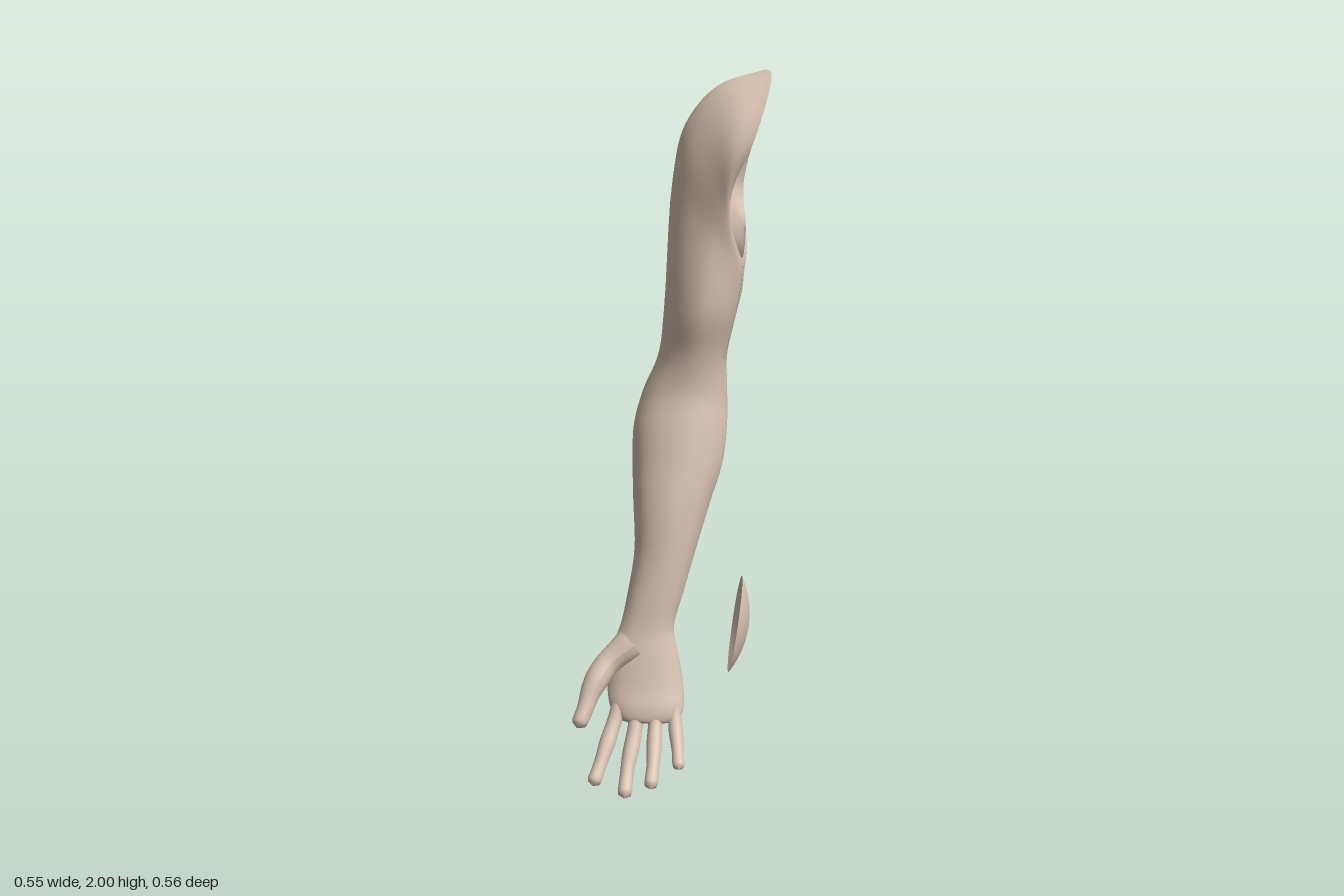
import * as THREE from 'three';

const skin = new THREE.MeshStandardMaterial({ color: 0xd9c3b2, side: THREE.DoubleSide });
const V = (p) => new THREE.Vector3(...p);
const AROUND = 40, STEPS = 5;

// Eight control points of an oval at height y: outer, front, inner, back
function oval([y, x0, x1, z0, z1]) {
  return Array.from({ length: 8 }, (_, i) => {
    const a = Math.PI - i * Math.PI / 4;
    return [(x0 + x1) / 2 + (x1 - x0) / 2 * Math.cos(a), y, (z0 + z1) / 2 + (z1 - z0) / 2 * Math.sin(a)];
  });
}

// Smooth skin through rings of control points, listed from top to bottom
function loft(rings) {
  const loops = rings.map((ring) => {
    const c = new THREE.CatmullRomCurve3(ring.map(V), true);
    return Array.from({ length: AROUND }, (_, j) => c.getPoint(j / AROUND));
  });
  const rows = (rings.length - 1) * STEPS;
  const columns = Array.from({ length: AROUND }, (_, j) => new THREE.CatmullRomCurve3(loops.map((l) => l[j])));
  const pos = [], index = [];
  for (let i = 0; i <= rows; i++) {
    for (let j = 0; j < AROUND; j++) {
      pos.push(...columns[j].getPoint(i / rows).toArray());
      if (i === rows) continue;
      const a = i * AROUND + j, b = i * AROUND + (j + 1) % AROUND;
      index.push(a, a + AROUND, b + AROUND, a, b + AROUND, b);
    }
  }
  const g = new THREE.BufferGeometry();
  g.setAttribute('position', new THREE.Float32BufferAttribute(pos, 3));
  g.setIndex(index);
  g.computeVertexNormals();
  return g;
}

// Tapered finger with a rounded tip
function finger(points, r0, r1) {
  const curve = new THREE.CatmullRomCurve3(points.map(V));
  const n = 28, sides = 16, length = curve.getLength();
  const g = new THREE.TubeGeometry(curve, n, 1, sides);
  const p = g.attributes.position, v = new THREE.Vector3();
  for (let i = 0; i <= n; i++) {
    const t = i / n, c = curve.getPointAt(t);
    const tip = Math.max(0, 1 - (1 - t) * length / r1);
    const joint = 1 + 0.06 * Math.cos(t * Math.PI * 4);
    const r = THREE.MathUtils.lerp(r0, r1, t) * joint * Math.sqrt(Math.max(0, 1 - tip * tip));
    for (let j = 0; j <= sides; j++) {
      const k = i * (sides + 1) + j;
      v.fromBufferAttribute(p, k).sub(c).multiplyScalar(r).add(c);
      p.setXYZ(k, v.x, v.y, v.z);
    }
  }
  g.computeVertexNormals();
  return g;
}

export function createModel() {
  const model = new THREE.Group();
  const add = (name, geometry) => {
    const m = new THREE.Mesh(geometry, skin);
    m.name = name;
    model.add(m);
    return m;
  };

  // Shoulder rings, from the ragged open edge to the upper arm
  const shoulder = [
    [[.25, 2, -.13], [.268, 1.975, -.03], [.22, 1.8, .1], [.155, 1.64, .04],
      [.19, 1.48, -.06], [.205, 1.56, -.21], [.2, 1.7, -.283], [.275, 1.99, -.205]],
    [[.12, 1.955, -.11], [.15, 1.9, .02], [.16, 1.75, .1], [.155, 1.59, .04],
      [.195, 1.46, -.07], [.205, 1.54, -.2], [.15, 1.7, -.277], [.15, 1.93, -.22]],
    [[.03, 1.85, -.1], [.06, 1.78, .02], [.12, 1.66, .075], [.165, 1.53, .03],
      [.197, 1.43, -.08], [.19, 1.5, -.19], [.11, 1.64, -.255], [.05, 1.8, -.21]],
    [[-.005, 1.7, -.095], [.02, 1.63, .01], [.1, 1.55, .055], [.165, 1.46, .015],
      [.194, 1.39, -.085], [.17, 1.45, -.195], [.1, 1.54, -.237], [.02, 1.65, -.19]],
  ];
  // Arm, wrist and palm: height, x range, z range
  const arm = [
    [1.33, -.03, .18, -.228, .05],
    [1.2, -.047, .152, -.21, .015],
    [1.1, -.09, .153, -.2, .005],
    [1.0, -.117, .153, -.178, .025],
    [.89, -.12, .14, -.157, .048],
    [.78, -.117, .105, -.125, .072],
    [.65, -.112, .065, -.07, .088],
    [.53, -.13, .03, -.022, .1],
    [.43, -.153, .003, .02, .11],
    [.36, -.185, .016, .035, .125],
    [.28, -.187, .03, .056, .142],
    [.21, -.175, .032, .088, .162],
    [.18, -.15, .015, .105, .16],
    [.175, -.08, -.07, .13, .135],
  ].map(oval);
  add('arm', loft([...shoulder, ...arm]));

  // Fingers, curling forward
  add('indexFinger', finger([[-.145, .23, .115], [-.17, .16, .155], [-.195, .09, .205], [-.218, .03, .25]], .024, .019));
  add('middleFinger', finger([[-.095, .23, .115], [-.108, .14, .165], [-.122, .07, .215], [-.128, .006, .275]], .024, .019));
  add('ringFinger', finger([[-.045, .23, .115], [-.048, .15, .165], [-.05, .09, .215], [-.055, .035, .276]], .023, .018));
  add('littleFinger', finger([[.005, .24, .11], [.01, .17, .15], [.017, .12, .19], [.022, .077, .24]], .022, .016));
  add('thumb', finger([[-.12, .39, .09], [-.185, .34, .12], [-.225, .28, .16], [-.243, .23, .19], [-.263, .185, .215]], .045, .02));

  // Narrow strip along the inside of the upper arm
  const strip = new THREE.PlaneGeometry(.025, .26, 1, 12).rotateY(Math.PI / 2);
  const sp = strip.attributes.position;
  for (let i = 0; i < sp.count; i++) {
    const t = sp.getY(i) / .26 + .5;
    sp.setX(i, .14 + .052 * t + .04 * t * (1 - t));
  }
  strip.computeVertexNormals();
  add('innerArmStrip', strip).position.set(0, 1.33, -.012);

  // Loose shallow dome beside the hand
  const rim = .142, height = .04, R = (rim * rim + height * height) / (2 * height);
  const dome = new THREE.SphereGeometry(R, 40, 10, 0, Math.PI * 2, 0, Math.asin(rim / R));
  dome.translate(0, height - R, 0).rotateZ(-Math.PI / 2 - .146);
  add('looseDome', dome).position.set(.18, .413, -.03);

  return model;
}
